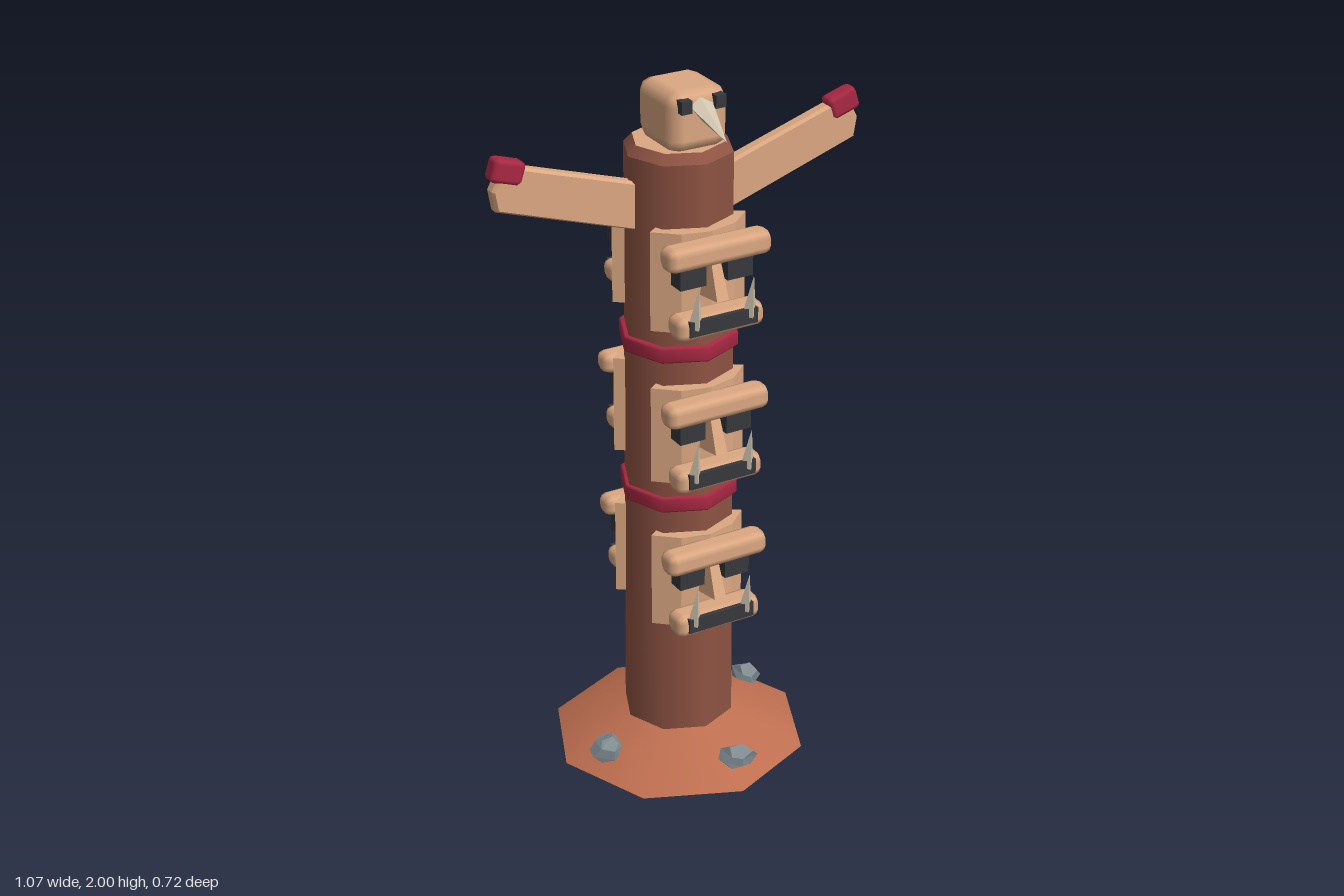
import * as THREE from 'three';
import { RoundedBoxGeometry } from 'three/addons/geometries/RoundedBoxGeometry.js';

const mat = (name, color, extra = {}) => {
  const m = new THREE.MeshStandardMaterial({ color, ...extra });
  m.name = name;
  return m;
};

export function createModel() {
  const root = new THREE.Group();
  root.name = 'totemPole';

  const bark = mat('bark', 0x8f5443);
  const wood = mat('paleWood', 0xdca882);
  const red = mat('redPaint', 0xa82842);
  const black = mat('blackPaint', 0x37393d);
  const bone = mat('bone', 0xcfc4ae, { flatShading: true });
  const stone = mat('stone', 0x7f8b90, { flatShading: true });
  const earth = mat('earth', 0xbf6f50);

  const add = (parent, name, geo, material, x = 0, y = 0, z = 0) => {
    const m = new THREE.Mesh(geo, material);
    m.name = name;
    m.position.set(x, y, z);
    parent.add(m);
    return m;
  };
  // chamfered block
  const block = (w, h, d, r) => new RoundedBoxGeometry(w, h, d, 1, r);

  // pole: tapered octagon with pale cut ends and a chamfered top
  add(root, 'pole', new THREE.CylinderGeometry(0.146, 0.156, 1.815, 8), [bark, wood, wood], 0, 0.9075, 0);
  add(root, 'poleTop', new THREE.CylinderGeometry(0.123, 0.146, 0.025, 8), [bark, wood, wood], 0, 1.8275, 0);

  // earth mound
  const mound = [[0, 0.042], [0.36, 0.042], [0.36, 0.042], [0.26, 0.097], [0.15, 0.138]];
  add(root, 'mound', new THREE.LatheGeometry(mound.map(p => new THREE.Vector2(...p)), 8), earth);

  // stones: squashed, slightly irregular lumps
  [[0.03, 0.275, 0.055, 0.042, 0.3], [0.045, -0.27, 0.052, 0.048, 1.4],
    [0.263, -0.07, 0.04, 0.045, 2.2], [-0.263, 0.06, 0.05, 0.045, 3.5]].forEach(([x, z, sx, sz, seed]) => {
    const geo = new THREE.DodecahedronGeometry(1, 0);
    const p = geo.attributes.position;
    for (let i = 0; i < p.count; i++) {
      const a = p.getX(i), b = p.getY(i), c = p.getZ(i);
      const k = 1 + 0.14 * Math.sin(seed * 3 + a * 2.1 + b * 1.3 - c * 2.7);
      p.setXYZ(i, a * k * sx, b * k * 0.036, c * k * sz);
    }
    geo.computeVertexNormals();
    add(root, 'stone', geo, stone, x, 0.096, z);
  });

  // red bands
  const band = [[0.14, -0.022], [0.158, -0.022], [0.163, -0.016], [0.163, 0.016], [0.158, 0.022], [0.14, 0.022]];
  for (const y of [0.853, 1.295]) {
    add(root, 'band', new THREE.LatheGeometry(band.map(p => new THREE.Vector2(...p)), 8), red, 0, y, 0);
  }

  // curved face plate: an arc section of a ring
  const plateShape = new THREE.Shape();
  const spread = 54 * Math.PI / 180;
  for (let i = 0; i <= 4; i++) {
    const a = -spread + i * spread / 2;
    plateShape.lineTo(0.174 * Math.sin(a), 0.174 * Math.cos(a));
  }
  for (let i = 4; i >= 0; i--) {
    const a = -spread + i * spread / 2;
    plateShape.lineTo(0.13 * Math.sin(a), 0.13 * Math.cos(a));
  }
  plateShape.curves.shift();
  const plateGeo = new THREE.ExtrudeGeometry(plateShape, { depth: 0.275, bevelEnabled: false });
  plateGeo.rotateX(Math.PI / 2);

  // nose: block narrowing and receding towards the top
  const noseGeo = new THREE.BoxGeometry(0.07, 0.09, 0.08).toNonIndexed();
  const np = noseGeo.attributes.position;
  for (let i = 0; i < np.count; i++) {
    const front = np.getZ(i) > 0;
    if (np.getY(i) > 0) {
      np.setX(i, np.getX(i) * 0.4);
      if (front) np.setZ(i, 0.005);
    } else if (front) np.setX(i, np.getX(i) * 0.5);
  }
  noseGeo.computeVertexNormals();

  // a carved face; y is the bottom of its plate
  const face = (y, isFront) => {
    const g = new THREE.Group();
    g.name = isFront ? 'frontFace' : 'backFace';
    g.position.y = y;
    if (!isFront) g.rotation.y = Math.PI;
    root.add(g);
    add(g, 'facePlate', plateGeo, wood, 0, 0.275, 0);
    const s = isFront ? 1 : 0.9;
    const dz = isFront ? 0 : -0.007;
    const dy = isFront ? 0 : -0.007;
    add(g, 'brow', block(0.302 * s, 0.066 * s, 0.07 * s, 0.022), wood, 0, 0.232 + dy, 0.193 + dz);
    add(g, 'lip', block(0.256 * (isFront ? 1 : 0.86), 0.066 * s, 0.075 * s, 0.022), wood, 0, 0.04 - dy, 0.195 + dz);
    add(g, 'mouth', new THREE.BoxGeometry(0.2 * s, 0.042, 0.04), black, 0, 0.046, 0.218 + dz);
    for (const side of [-1, 1]) {
      add(g, 'eye', new THREE.BoxGeometry(0.075, 0.068, 0.05), black, side * 0.069, 0.175, 0.174 + dz);
      if (isFront) {
        const fang = add(g, 'fang', new THREE.ConeGeometry(0.021, 0.12, 4), bone, side * 0.08, 0.105, 0.236);
        fang.rotation.x = 0.2;
      }
    }
    if (isFront) add(g, 'nose', noseGeo, wood, 0, 0.148, 0.19);
  };
  for (let i = 0; i < 3; i++) {
    face(0.49 + i * 0.44, true);
    face(0.49 + i * 0.44, false);
  }

  // raised arms with red tips
  const armShape = new THREE.Shape([[0.11, 1.612], [0.522, 1.748], [0.531, 1.80], [0.5, 1.858], [0.46, 1.85], [0.11, 1.738]]
    .map(p => new THREE.Vector2(...p)));
  const armGeo = new THREE.ExtrudeGeometry(armShape, {
    depth: 0.024, bevelThickness: 0.009, bevelSize: 0.006, bevelOffset: -0.003, bevelSegments: 1,
  });
  armGeo.translate(0, 0, -0.012);
  for (const side of [1, -1]) {
    const arm = new THREE.Group();
    arm.name = side > 0 ? 'leftArm' : 'rightArm';
    if (side < 0) arm.rotation.y = Math.PI;
    root.add(arm);
    add(arm, 'wing', armGeo, wood);
    add(arm, 'redTip', block(0.09, 0.064, 0.05, 0.014), red, 0.489, 1.845, 0).rotation.z = 0.31;
  }

  // bird head
  const head = new THREE.Group();
  head.name = 'head';
  root.add(head);
  add(head, 'skull', block(0.172, 0.164, 0.192, 0.038), wood, 0, 1.918, 0.022);
  for (const side of [-1, 1]) {
    add(head, 'headEye', new THREE.BoxGeometry(0.03, 0.034, 0.03), black, side * 0.049, 1.968, 0.116);
  }

  // beak: four-sided spike drooping to a point
  const rim = [[0.037, 1.972], [0, 1.988], [-0.037, 1.972], [0, 1.925]].map(([x, y]) => [x, y, 0.1]);
  const tip = [0, 1.905, 0.242];
  const tris = [];
  for (let i = 0; i < 4; i++) tris.push(...rim[i], ...rim[(i + 1) % 4], ...tip);
  const beakGeo = new THREE.BufferGeometry();
  beakGeo.setAttribute('position', new THREE.Float32BufferAttribute(tris, 3));
  beakGeo.computeVertexNormals();
  add(head, 'beak', beakGeo, bone);

  return root;
}
